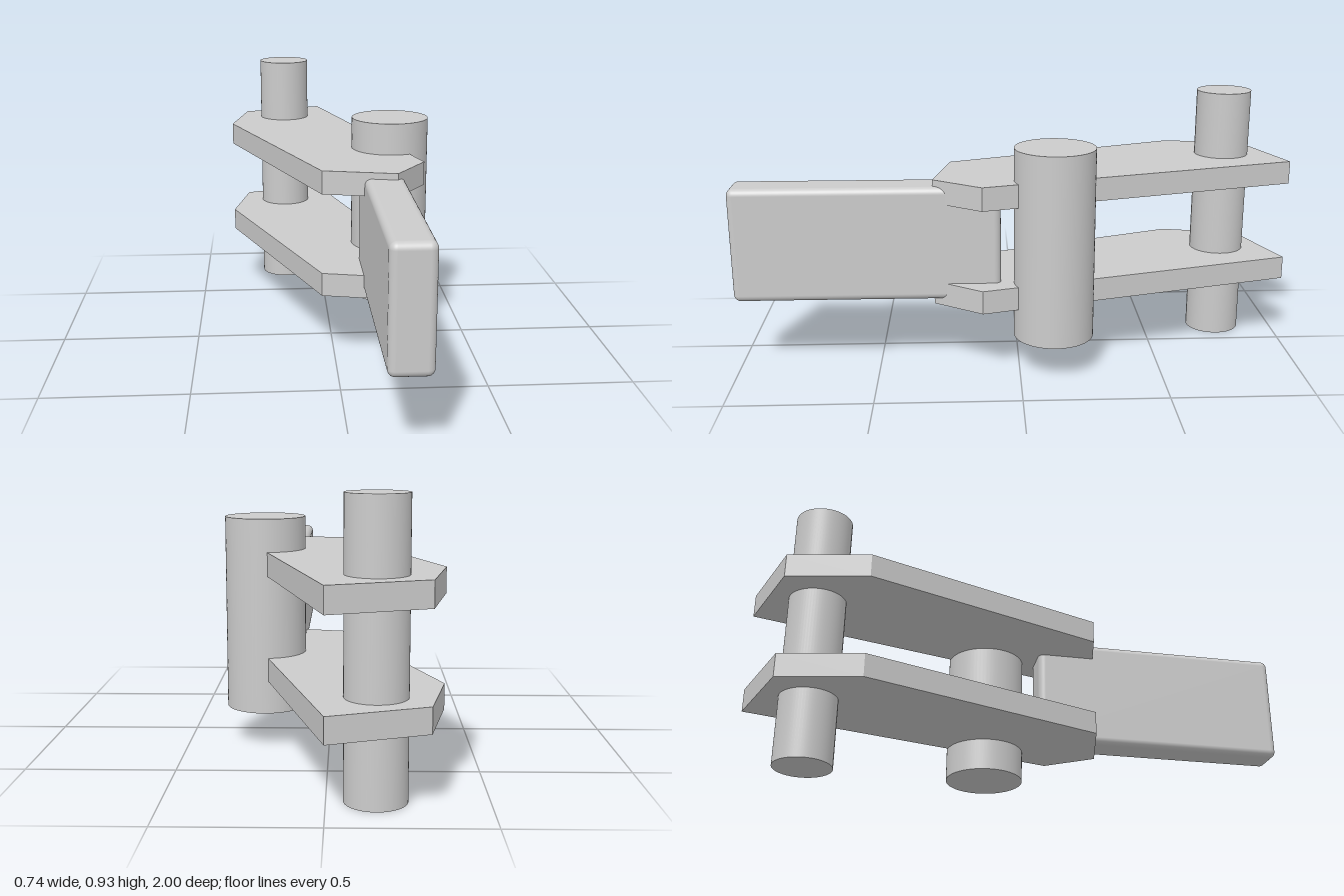
import * as THREE from 'three';
import { RoundedBoxGeometry } from 'three/addons/geometries/RoundedBoxGeometry.js';

export function createModel() {
  const model = new THREE.Group();
  model.name = 'pivotLinkage';
  const material = new THREE.MeshStandardMaterial({ color: 0xcccccc });

  function add(name, geometry, x, y, z) {
    const mesh = new THREE.Mesh(geometry, material);
    mesh.name = name;
    mesh.position.set(x, y, z);
    model.add(mesh);
  }

  // Upright round pin between two heights
  function addPin(name, radius, bottom, top, x, z) {
    const geometry = new THREE.CylinderGeometry(radius, radius, top - bottom, 64);
    add(name, geometry, x, (bottom + top) / 2, z);
  }

  // Two matching six-sided link plates, outline given as x, z
  const outline = [
    [0, -1], [-0.312, -0.89], [-0.37, -0.608],
    [-0.047, 0.243], [0.208, 0.3], [0.321, 0.13],
  ];
  const shape = new THREE.Shape(outline.map(([x, z]) => new THREE.Vector2(x, -z)));
  const plate = new THREE.ExtrudeGeometry(shape, { depth: 0.083, bevelEnabled: false });
  plate.rotateX(-Math.PI / 2);
  add('lowerPlate', plate, 0, 0.242, 0);
  add('upperPlate', plate, 0, 0.611, 0);

  // Slim pin at the rear, thick pin beside the arm
  addPin('rearPin', 0.099, 0, 0.934, -0.152, -0.777);
  addPin('pivotPin', 0.141, 0.128, 0.808, 0.226, -0.121);

  // Softly rounded arm, let into the plates
  const arm = new RoundedBoxGeometry(0.14, 0.407, 0.935, 5, 0.024);
  add('arm', arm, 0.167, 0.468, 0.5325);

  return model;
}
